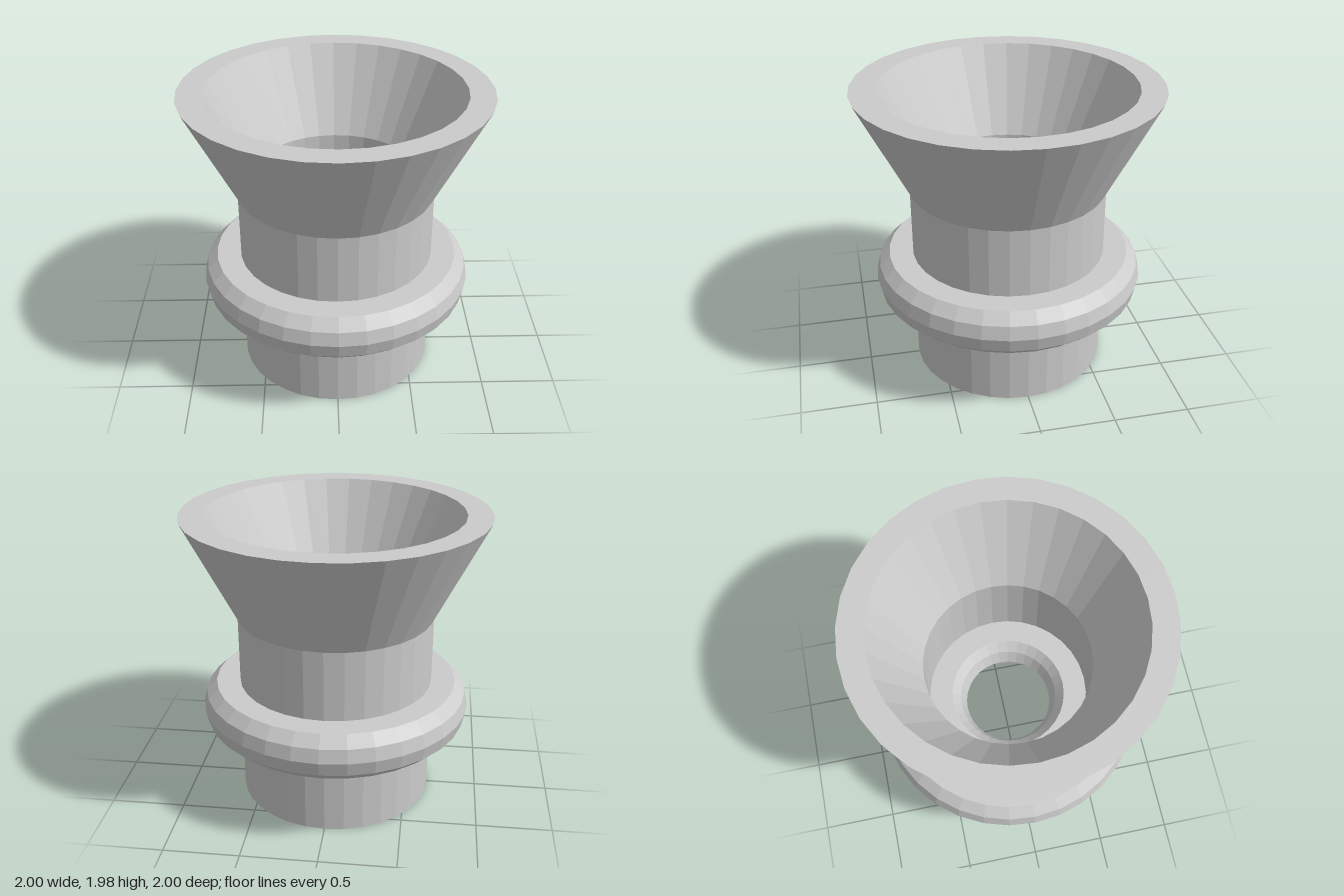
import * as THREE from 'three';

const SIDES = 32;
const OUTER = 0.655, INNER = 0.545;

// Faceted solid of revolution; profile runs up the outside and down the inside
function turned(name, profile) {
  const points = profile.map(([r, y]) => new THREE.Vector2(r, y));
  const geometry = new THREE.LatheGeometry(points, SIDES).toNonIndexed();
  geometry.computeVertexNormals();
  const material = new THREE.MeshStandardMaterial({ color: 0xcccccc, flatShading: true });
  const mesh = new THREE.Mesh(geometry, material);
  mesh.name = name;
  return mesh;
}

export function createModel() {
  const group = new THREE.Group();
  group.name = 'flaredPipeFitting';

  // Straight pipe wall
  group.add(turned('pipeOutside', [[INNER, 0], [OUTER, 0], [OUTER, 1.29]]));
  group.add(turned('pipeBore', [[INNER, 1.4], [INNER, 0]]));

  // Flared mouth with a thick flat rim
  group.add(turned('funnel', [[OUTER, 1.29], [1, 1.98], [0.835, 1.98], [INNER, 1.4]]));

  // Rounded collar around the outside
  group.add(turned('outerCollar', [
    [OUTER, 0.5], [0.815, 0.5], [0.885, 0.565], [0.907, 0.66],
    [0.885, 0.75], [0.815, 0.82], [OUTER, 0.82],
  ]));

  // Matching rounded collar narrowing the bore
  group.add(turned('innerCollar', [
    [INNER, 0.82], [0.39, 0.82], [0.333, 0.755], [0.295, 0.66],
    [0.333, 0.565], [0.39, 0.5], [INNER, 0.5],
  ]));

  return group;
}
